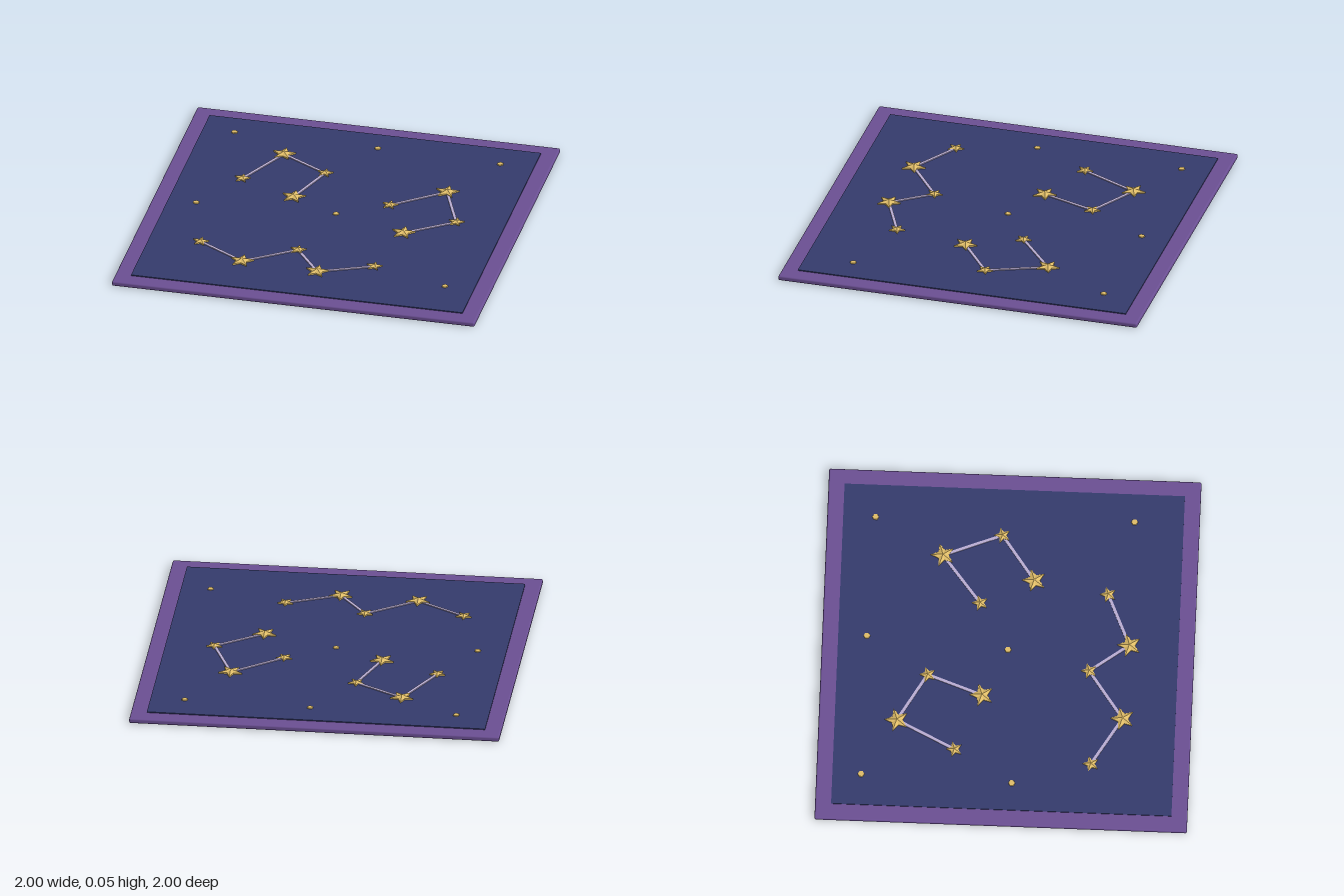
import * as THREE from 'three';
import { RoundedBoxGeometry } from 'three/addons/geometries/RoundedBoxGeometry.js';

const mat = (name, color) => {
  const m = new THREE.MeshStandardMaterial({ color });
  m.name = name;
  return m;
};

const FIELD_TOP = 0.033;
const BIG = 0.066, SMALL = 0.045;

// Each constellation is a chain of [x, z, radius] joined in order
const CONSTELLATIONS = [
  [[-0.58, -0.265, SMALL], [-0.425, -0.58, BIG], [-0.16, -0.425, SMALL], [-0.265, -0.13, BIG]],
  [[0.26, -0.16, SMALL], [0.525, -0.37, BIG], [0.65, -0.055, SMALL], [0.4, 0.125, BIG]],
  [[-0.635, 0.47, SMALL], [-0.37, 0.63, BIG], [-0.105, 0.44, SMALL], [0.05, 0.65, BIG], [0.335, 0.525, SMALL]],
];
const DOTS = [[-0.74, -0.76], [0.05, -0.76], [0.73, -0.74], [-0.76, 0.05], [0, 0], [0.755, 0.65]];

// Five-pointed star of radius 1: short side walls and a faceted peak
function starGeometry() {
  const ring = [];
  for (let i = 0; i < 10; i++) {
    const r = i % 2 ? 0.46 : 1, a = Math.PI / 2 + (i * Math.PI) / 5;
    ring.push([Math.cos(a) * r, -Math.sin(a) * r]);
  }
  const low = 0, rim = 0.008, peak = 0.02, pos = [];
  ring.forEach(([x, z], i) => {
    const [u, w] = ring[(i + 1) % 10];
    pos.push(0, peak, 0, x, rim, z, u, rim, w);
    pos.push(x, rim, z, x, low, z, u, low, w);
    pos.push(x, rim, z, u, low, w, u, rim, w);
    pos.push(0, low, 0, u, low, w, x, low, z);
  });
  const g = new THREE.BufferGeometry();
  g.setAttribute('position', new THREE.Float32BufferAttribute(pos, 3));
  g.computeVertexNormals();
  return g;
}

export function createModel() {
  const model = new THREE.Group();
  model.name = 'starRug';
  const purple = mat('purple border', 0x6b4f93);
  const navy = mat('night blue', 0x343b6c);
  const gold = mat('gold', 0xe0bd68);
  const lilac = mat('pale lilac', 0xb9add2);

  const add = (name, geometry, material, x, y, z) => {
    const mesh = new THREE.Mesh(geometry, material);
    mesh.name = name;
    mesh.position.set(x, y, z);
    model.add(mesh);
    return mesh;
  };

  // Rug body with softened edges and the raised sky panel
  add('border', new RoundedBoxGeometry(2, 0.028, 2, 3, 0.009), purple, 0, 0.014, 0);
  add('skyPanel', new THREE.BoxGeometry(1.828, 0.012, 1.828), navy, 0, FIELD_TOP - 0.006, 0);

  // Constellations: stars and the threads between them
  const star = starGeometry();
  for (const chain of CONSTELLATIONS) {
    chain.forEach(([x, z, r], i) => {
      add('star', star, gold, x, FIELD_TOP, z).scale.set(r, r === BIG ? 1 : 0.9, r);
      if (!i) return;
      const [px, pz] = chain[i - 1];
      const thread = new THREE.BoxGeometry(Math.hypot(x - px, z - pz), 0.006, 0.016);
      add('thread', thread, lilac, (x + px) / 2, FIELD_TOP + 0.002, (z + pz) / 2)
        .rotation.y = -Math.atan2(z - pz, x - px);
    });
  }

  // Lone distant stars
  const dot = new THREE.CylinderGeometry(0.017, 0.019, 0.006, 6);
  for (const [x, z] of DOTS) add('smallStar', dot, gold, x, FIELD_TOP + 0.002, z);

  return model;
}
